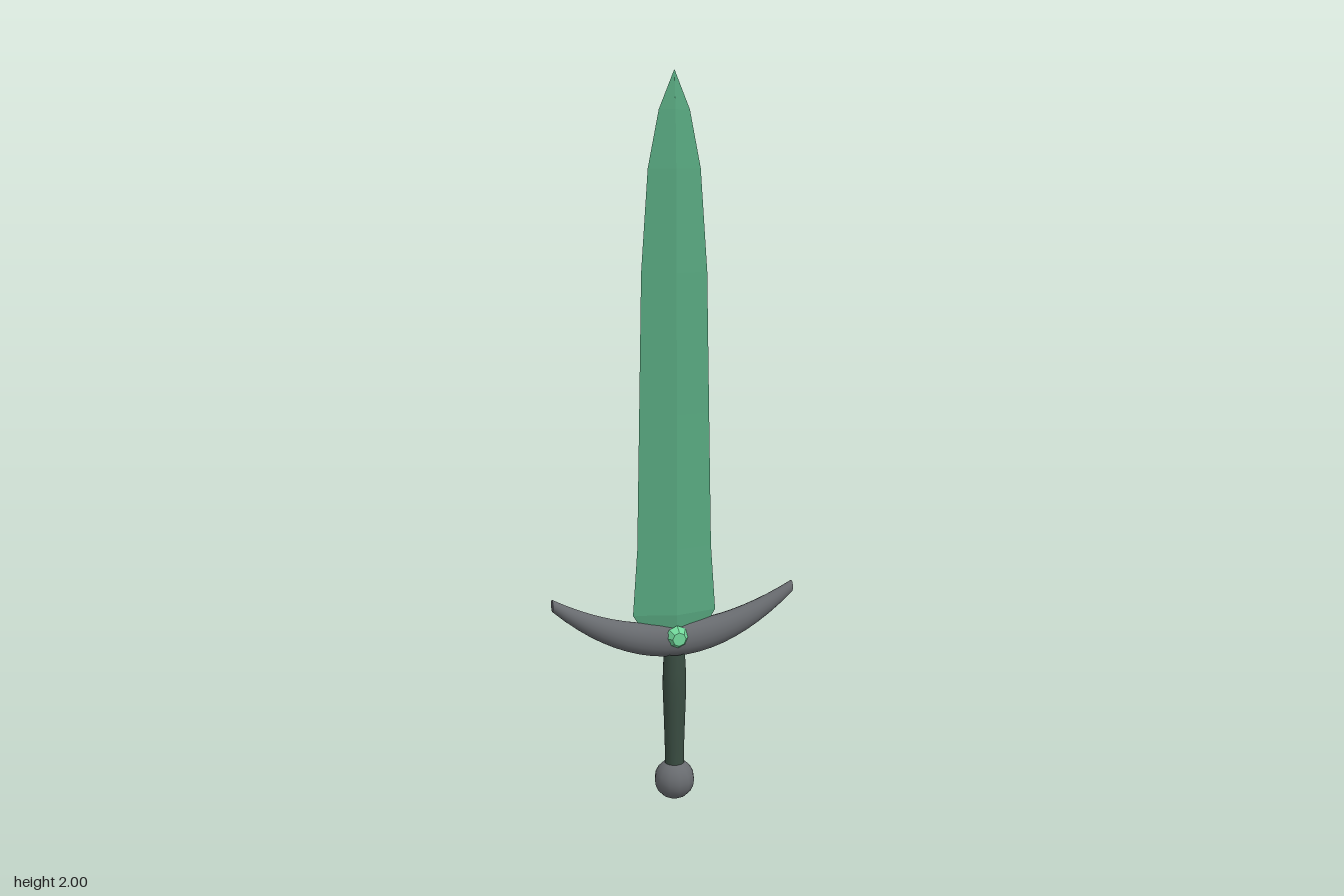
import * as THREE from 'three';

// Skin a list of rings (equal point counts) with separate end caps.
function loft(rings) {
  const n = rings[0].length, pos = [], idx = [];
  rings.forEach(r => r.forEach(p => pos.push(...p)));
  for (let j = 0; j < rings.length - 1; j++) {
    for (let i = 0; i < n; i++) {
      const a = j * n + i, b = j * n + (i + 1) % n;
      idx.push(a, b, b + n, a, b + n, a + n);
    }
  }
  const cap = (ring, flip) => {
    const s = pos.length / 3;
    ring.forEach(p => pos.push(...p));
    for (let i = 1; i < n - 1; i++) idx.push(s, s + (flip ? i + 1 : i), s + (flip ? i : i + 1));
  };
  cap(rings[0], true);
  cap(rings[rings.length - 1], false);
  const g = new THREE.BufferGeometry();
  g.setAttribute('position', new THREE.Float32BufferAttribute(pos, 3));
  g.setIndex(idx);
  g.computeVertexNormals();
  return g;
}

export function createModel() {
  const group = new THREE.Group();
  const material = (name, color) => {
    const m = new THREE.MeshStandardMaterial({ color });
    m.name = name;
    return m;
  };
  const bladeGreen = material('blade green', 0x58a880);
  const gemGreen = material('gem green', 0x72d89c);
  const steel = material('dark steel', 0x686b6f);
  const leather = material('dark green leather', 0x3a4d42);

  const add = (name, geometry, mat) => {
    const mesh = new THREE.Mesh(geometry, mat);
    mesh.name = name;
    group.add(mesh);
    return mesh;
  };

  // Blade: diamond sections [height, half width, half depth]
  const sections = [
    [0.47, 0.075, 0.018], [0.515, 0.1, 0.024], [0.545, 0.118, 0.028], [0.73, 0.105, 0.025],
    [1.1, 0.098, 0.023], [1.48, 0.091, 0.022], [1.75, 0.072, 0.018], [1.9, 0.042, 0.011], [2, 0.0005, 0.0005],
  ];
  const blade = loft(sections.map(([y, w, d]) => [[w, y, 0], [0, y, -d], [-w, y, 0], [0, y, d]])).toNonIndexed();
  blade.computeVertexNormals();
  add('blade', blade, bladeGreen);

  // Crossguard: upswept crescent of oval sections
  const guardRings = [];
  for (let j = 0; j <= 20; j++) {
    const t = j / 10 - 1, t2 = t * t, ring = [];
    for (let i = 0; i < 16; i++) {
      const a = (i / 16) * Math.PI * 2;
      ring.push([0.343 * t, 0.468 + 0.125 * t2 + Math.cos(a) * (0.048 - 0.031 * t2), Math.sin(a) * (0.037 - 0.023 * t2)]);
    }
    guardRings.push(ring);
  }
  add('crossguard', loft(guardRings), steel);

  // Faceted gems, front and back
  const gemMaterial = gemGreen;
  for (const side of [1, -1]) {
    const g = new THREE.CylinderGeometry(0.019, 0.033, 0.022, 8).toNonIndexed();
    g.rotateX(side * Math.PI / 2);
    g.computeVertexNormals();
    add(side > 0 ? 'frontGem' : 'backGem', g, gemMaterial).position.set(0, 0.482, side * 0.039);
  }

  // Grip: gently swelling handle
  const profile = [[0.027, 0.09], [0.028, 0.16], [0.031, 0.25], [0.034, 0.33], [0.033, 0.38], [0.03, 0.43]];
  add('grip', new THREE.LatheGeometry(profile.map(([x, y]) => new THREE.Vector2(x, y)), 12), leather);

  // Pommel
  add('pommel', new THREE.SphereGeometry(0.057, 12, 10), steel).position.y = 0.057;

  return group;
}
